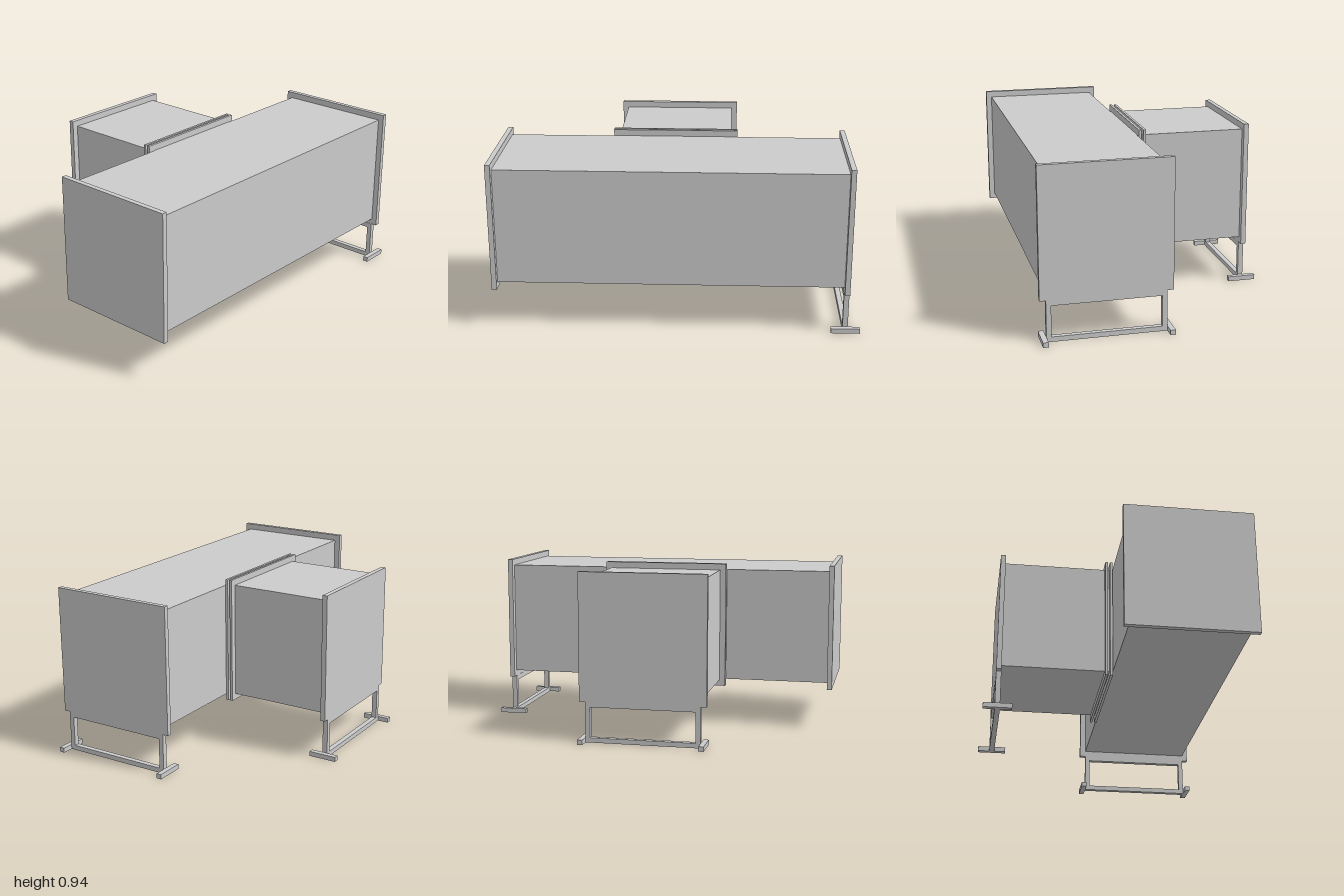
import * as THREE from 'three';

const material = new THREE.MeshStandardMaterial({ color: 0xcccccc, flatShading: true });

// Box given by its extents along each axis
function box(parent, name, [x0, x1], [y0, y1], [z0, z1]) {
  const mesh = new THREE.Mesh(new THREE.BoxGeometry(x1 - x0, y1 - y0, z1 - z0), material);
  mesh.name = name;
  mesh.position.set((x0 + x1) / 2, (y0 + y1) / 2, (z0 + z1) / 2);
  parent.add(mesh);
  return mesh;
}

// Support frame lying along x, centred on its own origin
function makeStand(name) {
  const stand = new THREE.Group();
  stand.name = name;
  const half = 0.32, depth = [-0.0145, 0.0145];
  box(stand, 'topRail', [-half, half], [0.197, 0.226], depth);
  box(stand, 'bottomRail', [-half, half], [0, 0.027], depth);
  for (const s of [-1, 1]) {
    const side = s < 0 ? 'right' : 'left';
    const span = (a, b) => (s > 0 ? [a, b] : [-b, -a]);
    box(stand, side + 'Leg', span(half - 0.027, half), [0.027, 0.197], depth);
    box(stand, side + 'Foot', span(half, half + 0.029), [0, 0.027], [-0.079, 0.079]);
  }
  return stand;
}

export function createModel() {
  const model = new THREE.Group();
  model.name = 'ductJunction';

  const ductY = [0.26, 0.902], plateY = [0.226, 0.937];
  const mainX = [-0.019, 0.688], branchZ = [-0.323, 0.384];

  // Long main duct with an end plate at each end
  box(model, 'mainDuct', [0.015, 0.656], ductY, [-0.908, 0.972]);
  box(model, 'frontEndPlate', mainX, plateY, [0.972, 1]);
  box(model, 'backEndPlate', mainX, plateY, [-0.936, -0.908]);

  // Side branch, its end plate and the pair of joint flanges
  box(model, 'branchDuct', [-0.6, 0.015], ductY, [-0.29, 0.351]);
  box(model, 'branchEndPlate', [-0.628, -0.6], plateY, branchZ);
  box(model, 'outerJointFlange', [-0.029, -0.015], plateY, branchZ);
  box(model, 'innerJointFlange', [-0.003, 0.012], plateY, branchZ);

  // Stands below the back plate and the branch end plate
  const backStand = makeStand('backStand');
  backStand.position.set(0.335, 0, -0.921);
  const branchStand = makeStand('branchStand');
  branchStand.rotation.y = Math.PI / 2;
  branchStand.position.set(-0.613, 0, 0.031);
  model.add(backStand, branchStand);

  return model;
}
